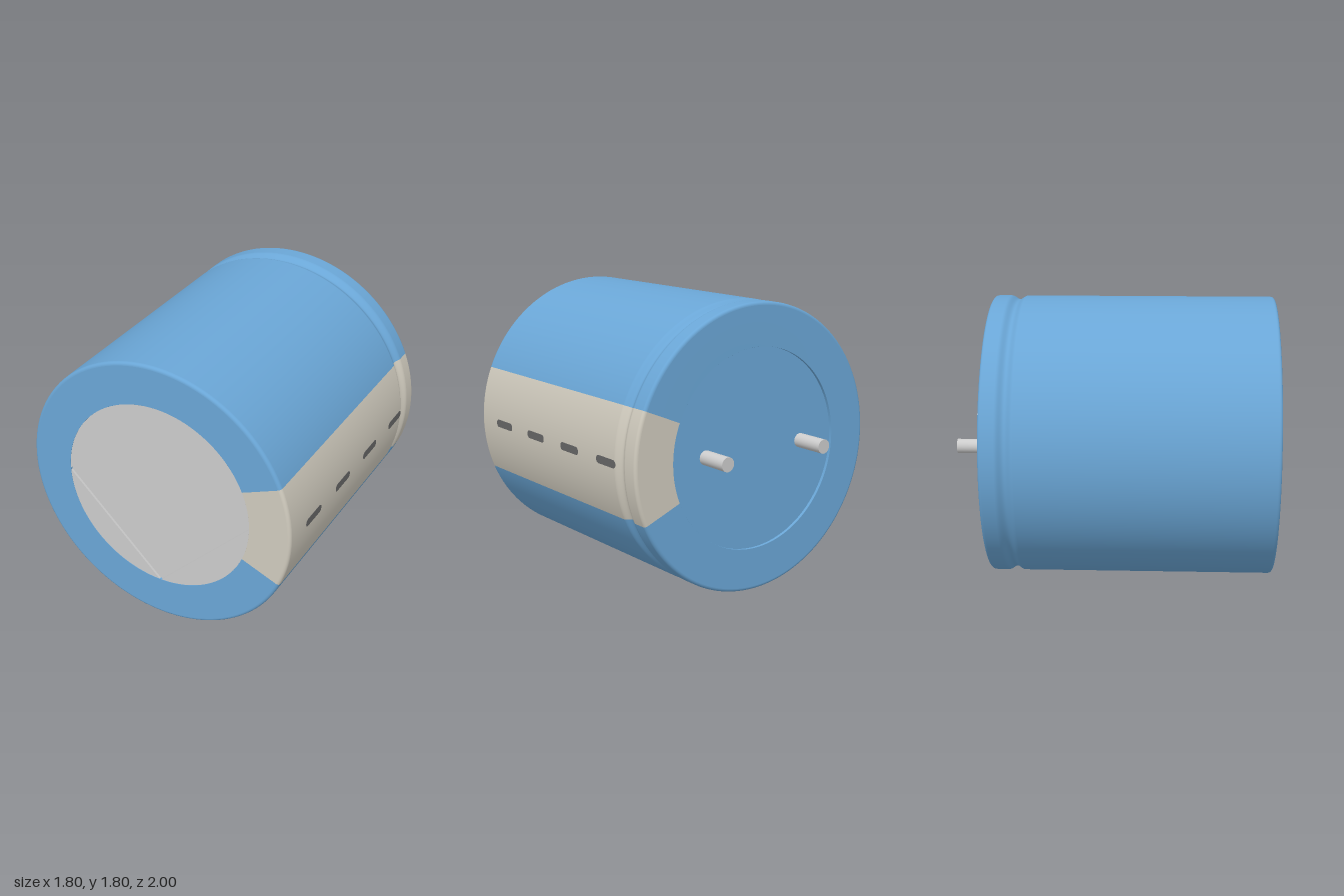
import * as THREE from 'three';

const R = 0.9, INNER = 0.63, FRONT = 1, BACK = -0.8;

const mat = (color) => new THREE.MeshStandardMaterial({ color });

function add(group, name, geometry, material) {
  const mesh = new THREE.Mesh(geometry, material);
  mesh.name = name;
  group.add(mesh);
  return mesh;
}

// Can outline (radius, z) from the back recess around to the front opening
function sleeveProfile() {
  const f = 0.02, e = 0.0005, p = [];
  const put = (r, z) => p.push(new THREE.Vector2(r, z));
  put(INNER, BACK + 0.02);
  put(INNER, BACK + e);
  put(INNER + e, BACK);
  put(R - f - e, BACK);
  for (let i = 0; i <= 6; i++) {
    const a = (i / 6) * Math.PI / 2;
    put(R - f + f * Math.sin(a), BACK + f - f * Math.cos(a));
  }
  put(R, -0.7 - e);
  // Crimped groove
  for (let i = 0; i <= 16; i++) {
    const t = i / 16;
    put(R - 0.0125 * (1 - Math.cos(t * Math.PI * 2)), -0.7 + 0.11 * t);
  }
  put(R, -0.589);
  put(R, FRONT - f - e);
  for (let i = 0; i <= 6; i++) {
    const a = (i / 6) * Math.PI / 2;
    put(R - f + f * Math.cos(a), FRONT - f + f * Math.sin(a));
  }
  put(R - f - e, FRONT);
  put(INNER + e, FRONT);
  put(INNER, FRONT - e);
  put(INNER, FRONT - 0.02);
  return p;
}

export function createModel() {
  const model = new THREE.Group();
  model.name = 'capacitor';
  const body = new THREE.Group();
  body.name = 'body';
  body.position.y = R;
  model.add(body);

  const blue = mat(0x6aa6d6), beige = mat(0xcfcabd), dark = mat(0x666666), grey = mat(0xcccccc);

  // Sleeve and its polarity stripe, centred on +x
  const half = Math.PI / 8, profile = sleeveProfile();
  const lathe = (segments, start, length) =>
    new THREE.LatheGeometry(profile, segments, start, length).rotateX(Math.PI / 2);
  add(body, 'sleeve', lathe(112, Math.PI / 2 + half, Math.PI * 2 - 2 * half), blue);
  add(body, 'polarityStripe', lathe(16, Math.PI / 2 - half, 2 * half), beige);

  // Rounded dashes along the stripe
  const hl = 0.1, hr = 0.025;
  const dash = new THREE.Shape();
  dash.absarc(hl - hr, 0, hr, -Math.PI / 2, Math.PI / 2);
  dash.absarc(-hl + hr, 0, hr, Math.PI / 2, Math.PI * 1.5);
  const dashGeo = new THREE.ExtrudeGeometry(dash, { depth: 0.004, bevelEnabled: false, curveSegments: 10 })
    .rotateY(Math.PI / 2);
  for (let i = 0; i < 4; i++) {
    add(body, 'stripeDash', dashGeo, dark).position.set(R - 0.003, 0, 0.7 - 0.4 * i);
  }

  // Front cap: four quarters with a scored cross between them
  const gap = 0.007;
  const a0 = Math.asin(gap / INNER);
  const quarter = new THREE.Shape();
  quarter.moveTo(gap, gap);
  quarter.absarc(0, 0, INNER, a0, Math.PI / 2 - a0);
  quarter.closePath();
  const quarterGeo = new THREE.ExtrudeGeometry(quarter, { depth: 0.014, bevelEnabled: false, curveSegments: 32 });
  for (let i = 0; i < 4; i++) {
    const q = add(body, 'frontCapQuarter', quarterGeo, grey);
    q.position.z = FRONT - 0.016;
    q.rotation.z = i * Math.PI / 2;
  }
  add(body, 'frontCapBase', new THREE.CircleGeometry(INNER, 128), grey).position.z = FRONT - 0.016;

  // Recessed back seal
  const seal = add(body, 'backSeal', new THREE.CircleGeometry(INNER, 128), blue);
  seal.rotation.y = Math.PI;
  seal.position.z = BACK + 0.02;

  // Terminal pins, one slightly longer
  for (const [x, end] of [[-0.375, -1], [0.375, -0.99]]) {
    const start = BACK + 0.03;
    const pin = add(body, 'terminalPin', new THREE.CylinderGeometry(0.045, 0.045, start - end, 32), grey);
    pin.rotation.x = Math.PI / 2;
    pin.position.set(x, 0, (start + end) / 2);
  }

  return model;
}
